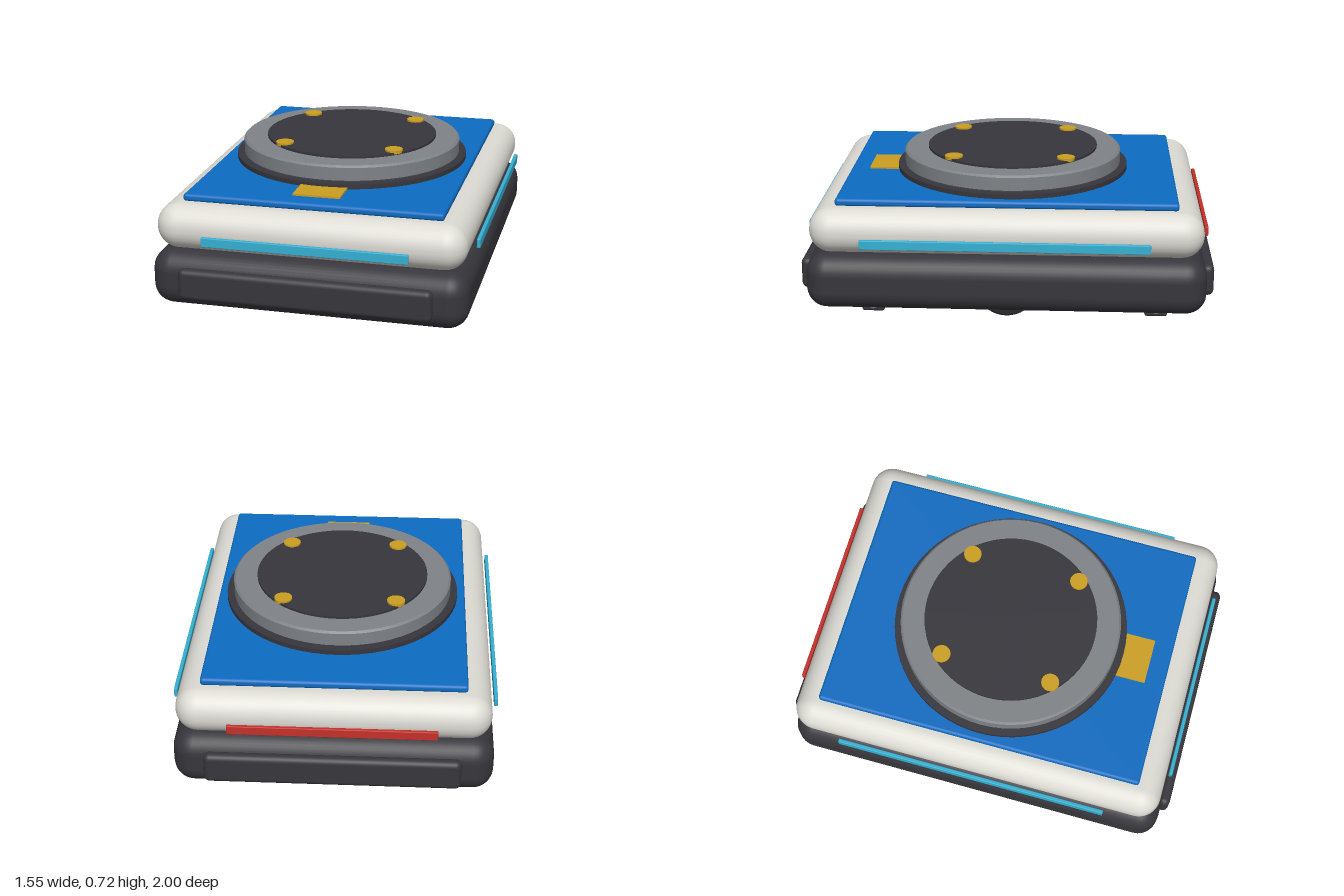
import * as THREE from 'three';
import { RoundedBoxGeometry } from 'three/addons/geometries/RoundedBoxGeometry.js';

const paint = (name, color) => {
  const m = new THREE.MeshStandardMaterial({ color });
  m.name = name;
  return m;
};

export function createModel() {
  const charcoal = paint('charcoal', 0x37363c);
  const white = paint('warm white', 0xdddbd4);
  const blue = paint('deck blue', 0x0d6cc2);
  const cyan = paint('light cyan', 0x35b0d2);
  const red = paint('tail red', 0xc4302a);
  const gold = paint('contact gold', 0xcc9f22);
  const grey = paint('ring grey', 0x7f8387);
  const rubber = paint('tyre black', 0x2b2b2f);

  const model = new THREE.Group();
  model.name = 'mobileRobotBase';

  const add = (name, geometry, material, x, y, z, parent = model) => {
    const mesh = new THREE.Mesh(geometry, material);
    mesh.name = name;
    mesh.position.set(x, y, z);
    parent.add(mesh);
    return mesh;
  };
  const box = (w, h, d, r, seg = 4) => new RoundedBoxGeometry(w, h, d, seg, r);
  // Disc standing between two heights, with a small chamfer on its rims
  const disc = (name, material, r, y0, y1, x = 0, z = 0, bevel = 0) => {
    const h = y1 - y0;
    const pts = bevel
      ? [[0, 0], [r - bevel, 0], [r - bevel, 0], [r, bevel], [r, bevel], [r, h - bevel],
        [r, h - bevel], [r - bevel, h], [r - bevel, h], [0, h]]
      : [[0, 0], [r, 0], [r, 0], [r, h], [r, h], [0, h]];
    const geo = new THREE.LatheGeometry(pts.map(p => new THREE.Vector2(...p)), 64);
    return add(name, geo, material, x, y0, z);
  };

  // Stacked hull
  add('chassis', box(1.52, 0.275, 1.92, 0.1), charcoal, 0, 0.1985, 0);
  add('body', box(1.485, 0.222, 1.885, 0.108), white, 0, 0.445, 0);
  add('deck', box(1.25, 0.038, 1.64, 0.015, 3), blue, 0, 0.571, 0);

  // Bumpers and light strips
  for (const s of [1, -1]) {
    const end = s > 0 ? 'front' : 'rear';
    const side = s > 0 ? 'left' : 'right';
    add(end + 'Bumper', box(1.21, 0.155, 0.06, 0.028), charcoal, 0, 0.198, s * 0.97);
    add(end + 'Light', box(0.98, 0.046, 0.018, 0.004, 2), s > 0 ? cyan : red, 0, 0.412, s * 0.963);
    add(side + 'Light', box(0.018, 0.046, 1.37, 0.004, 2), cyan, s * 0.766, 0.412, 0);
  }

  // Turntable
  disc('turntableBase', charcoal, 0.585, 0.585, 0.613);
  disc('turntableRing', grey, 0.55, 0.611, 0.695, 0, 0, 0.01);
  disc('turntableTop', charcoal, 0.43, 0.69, 0.707);
  for (const x of [-0.277, 0.277]) {
    for (const z of [-0.277, 0.277]) disc('contactPin', gold, 0.044, 0.7, 0.716, x, z);
  }
  add('contactPlate', new THREE.BoxGeometry(0.23, 0.009, 0.22), gold, 0, 0.5945, 0.612);

  // Wheels turning on the x axis
  const wheelGeometry = (r, w, bevel) => {
    const pts = [[0, -w / 2], [r - bevel, -w / 2], [r, bevel - w / 2],
      [r, w / 2 - bevel], [r - bevel, w / 2], [0, w / 2]];
    return new THREE.LatheGeometry(pts.map(p => new THREE.Vector2(...p)), 40).rotateZ(Math.PI / 2);
  };
  for (const s of [1, -1]) {
    const side = s > 0 ? 'left' : 'right';
    add(side + 'DriveWheel', wheelGeometry(0.148, 0.11, 0.012), rubber, s * 0.56, 0.148, 0);

    // Casters: wheel between two fork cheeks, with an axle through them
    for (const z of [0.65, -0.725]) {
      const caster = new THREE.Group();
      caster.name = side + (z > 0 ? 'FrontCaster' : 'RearCaster');
      caster.position.set(s * 0.53, 0, z);
      model.add(caster);
      add('casterWheel', wheelGeometry(0.06, 0.06, 0.01), rubber, 0, 0.065, 0, caster);
      for (const x of [-0.07, 0.07]) {
        add('forkCheek', box(0.035, 0.09, 0.11, 0.012, 2), charcoal, x, 0.06, 0, caster);
      }
      add('casterAxle', wheelGeometry(0.02, 0.19, 0.004), grey, 0, 0.05, 0, caster);
    }
  }
  return model;
}
